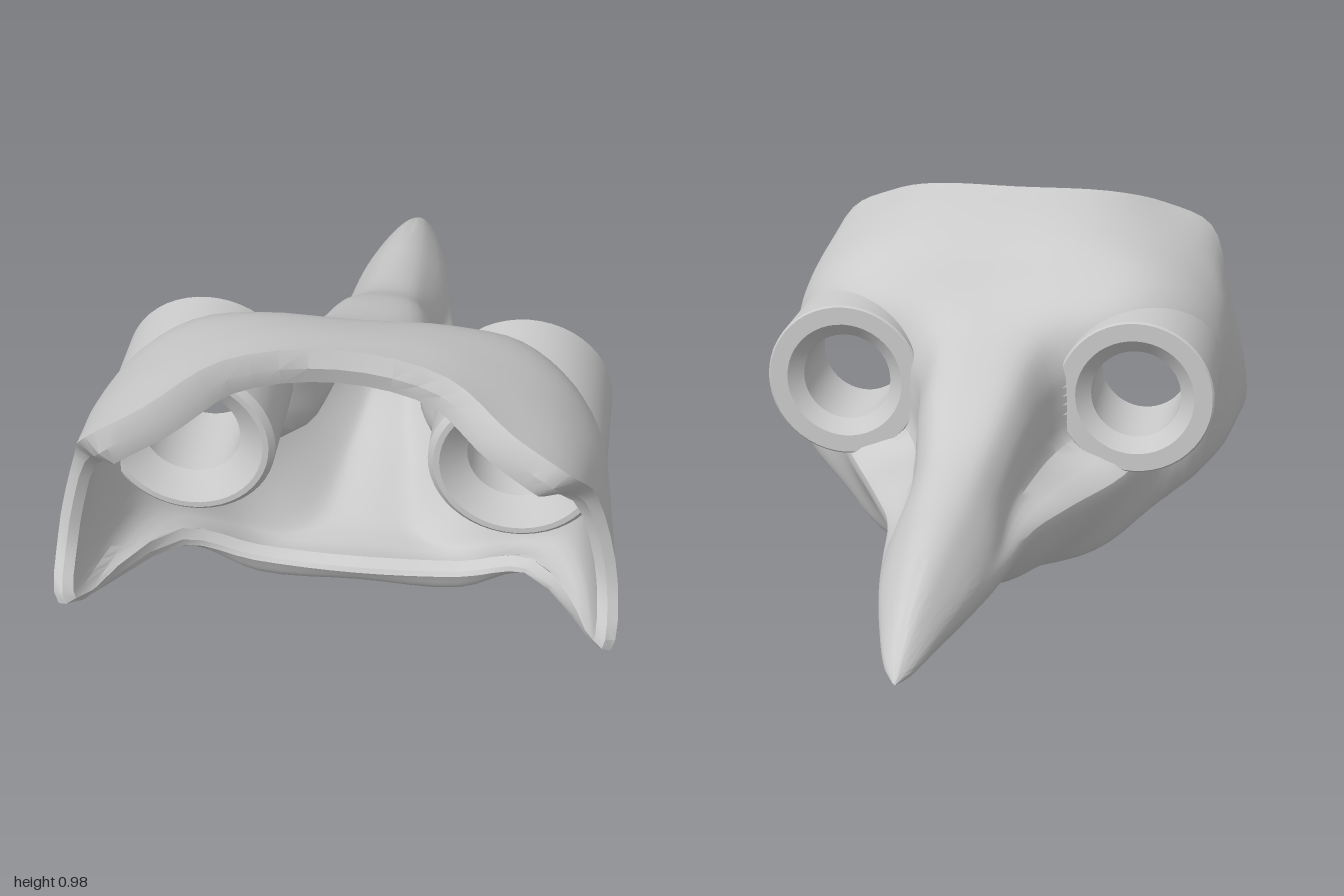
import * as THREE from 'three';
import { toCreasedNormals } from 'three/addons/utils/BufferGeometryUtils.js';

const AROUND = 72, STEPS = 5, THICK = 0.05;
const EYE = { x: 0.41, y: 0.535 };
const mat = new THREE.MeshStandardMaterial({ color: 0xcccccc, side: THREE.DoubleSide });
const { lerp, smoothstep } = THREE.MathUtils;

// Half cross-sections of the beak (width fraction, height fraction), top to bottom
const BASE = [[0, 1], [0.36, 0.97], [0.52, 0.84], [0.55, 0.7], [0.58, 0.54], [1, 0.42], [0.92, 0.29], [0.66, 0.11], [0.38, 0], [0, 0]];
const TIP = [[0, 1], [0.34, 0.95], [0.64, 0.81], [0.85, 0.67], [0.97, 0.55], [1, 0.44], [0.9, 0.29], [0.65, 0.13], [0.35, 0.03], [0, 0]];

// Beak stations: z, top, bottom, half width
const BEAK = [
  [-1, 0.253, 0.247, 0.004], [-0.95, 0.3, 0.235, 0.035], [-0.8, 0.38, 0.215, 0.08], [-0.6, 0.44, 0.183, 0.125],
  [-0.4, 0.48, 0.153, 0.16], [-0.18, 0.535, 0.128, 0.195], [0, 0.625, 0.07, 0.27], [0.24, 0.715, 0.012, 0.385],
];

// Half cross-sections of the face, ending with the curved rim (x, y, z)
const BROW = [[0, 0.78, 0.37], [0.2, 0.775, 0.35], [0.36, 0.745, 0.34], [0.46, 0.68, 0.37], [0.49, 0.56, 0.38],
  [0.485, 0.38, 0.37], [0.45, 0.24, 0.36], [0.36, 0.08, 0.34], [0.22, 0.005, 0.32], [0, 0.005, 0.3]];
const CHEEK = [[0, 0.87, 0.48], [0.24, 0.87, 0.48], [0.42, 0.82, 0.47], [0.54, 0.735, 0.5], [0.6, 0.62, 0.52],
  [0.61, 0.42, 0.5], [0.56, 0.24, 0.47], [0.41, 0.11, 0.43], [0.25, 0.008, 0.38], [0, 0.008, 0.38]];
const TEMPLE = [[0, 0.93, 0.61], [0.24, 0.93, 0.65], [0.43, 0.87, 0.7], [0.55, 0.79, 0.72], [0.62, 0.67, 0.67],
  [0.645, 0.44, 0.65], [0.625, 0.25, 0.65], [0.425, 0.14, 0.5], [0.265, 0.035, 0.46], [0, 0.035, 0.46]];
const RIM = [[0, 0.98, 0.775], [0.26, 0.965, 0.83], [0.42, 0.905, 0.95], [0.55, 0.835, 0.985], [0.615, 0.69, 0.87],
  [0.675, 0.44, 0.865], [0.67, 0.28, 0.93], [0.44, 0.17, 0.54], [0.27, 0.1, 0.495], [0, 0.085, 0.495]];

// Mirror a half section into a closed ring of points
function ring(half) {
  const pts = half.map((p) => new THREE.Vector3(...p));
  const other = pts.slice(1, -1).reverse().map((p) => new THREE.Vector3(-p.x, p.y, p.z));
  const curve = new THREE.CatmullRomCurve3([...pts, ...other], true);
  return Array.from({ length: AROUND }, (_, i) => curve.getPoint(i / AROUND));
}

function beakHalf([z, top, bottom, width]) {
  const k = smoothstep(z, -0.6, 0.1);
  return BASE.map((b, i) => {
    const u = lerp(TIP[i][0], b[0], k), v = lerp(TIP[i][1], b[1], k);
    return [u * width, bottom + v * (top - bottom), z];
  });
}

// Two triangles per cell between consecutive rows of vertices
function gridIndex(rows) {
  const index = [];
  for (let s = 0; s < rows - 1; s++) {
    for (let i = 0; i < AROUND; i++) {
      const a = s * AROUND + i, b = s * AROUND + (i + 1) % AROUND;
      index.push(a, a + AROUND, b, b, a + AROUND, b + AROUND);
    }
  }
  return index;
}

function geometryFrom(points, index) {
  const g = new THREE.BufferGeometry().setFromPoints(points);
  g.setIndex(index);
  g.computeVertexNormals();
  return g;
}

function maskShell() {
  const rings = [...BEAK.map(beakHalf), BROW, CHEEK, TEMPLE, RIM].map(ring);
  const rows = (rings.length - 1) * STEPS + 1;
  const curves = Array.from({ length: AROUND }, (_, i) => new THREE.CatmullRomCurve3(rings.map((r) => r[i])));
  const outer = [];
  for (let s = 0; s < rows; s++) curves.forEach((c) => outer.push(c.getPoint(s / (rows - 1))));

  // Inner skin: outer skin moved inwards, thinner at the tip, thicker under the brow rim
  const normals = geometryFrom(outer, gridIndex(rows)).getAttribute('normal');
  const n = new THREE.Vector3();
  const inner = outer.map((p, k) => {
    const row = Math.floor(k / AROUND) * AROUND;
    const height = outer[row].y - outer[row + AROUND / 2].y;
    const rear = smoothstep(p.z, 0.45, 0.65);
    const thick = THICK + 0.045 * rear * smoothstep(p.y, 0.65, 0.8);
    n.fromBufferAttribute(normals, k);
    n.z *= 1 - rear;
    return p.clone().addScaledVector(n, -Math.min(thick, height * 0.2));
  });

  // Rounded lip joining both skins at the rim
  const lip = [];
  const last = (rows - 1) * AROUND;
  for (let i = 0; i < AROUND; i++) {
    const p = outer[last + i].clone().lerp(inner[last + i], 0.5);
    p.z += 0.012;
    lip.push(p);
  }
  const points = [...outer, ...lip];
  for (let s = rows - 1; s >= 0; s--) points.push(...inner.slice(s * AROUND, (s + 1) * AROUND));

  // Leave out the cells inside the eye tubes
  const all = gridIndex(rows * 2 + 1), index = [];
  for (let t = 0; t < all.length; t += 3) {
    const [a, b, c] = [0, 1, 2].map((j) => points[all[t + j]]);
    const x = Math.abs(a.x + b.x + c.x) / 3, y = (a.y + b.y + c.y) / 3, z = (a.z + b.z + c.z) / 3;
    if (z > 0.2 && Math.hypot(x - EYE.x, y - EYE.y) < 0.18) continue;
    index.push(all[t], all[t + 1], all[t + 2]);
  }
  return toCreasedNormals(geometryFrom(points, index), 0.5);
}

// Thick eye tube with chamfered openings at both ends
function eyeTube() {
  const profile = [[0.125, 0.285], [0.165, 0.25], [0.215, 0.25], [0.22, 0.255], [0.22, 0.565], [0.205, 0.58],
    [0.19, 0.58], [0.137, 0.54], [0.125, 0.53], [0.125, 0.285]].map((p) => new THREE.Vector2(...p));
  const g = new THREE.LatheGeometry(profile, 48);
  g.rotateX(Math.PI / 2);
  return toCreasedNormals(g, 0.5);
}

export function createModel() {
  const model = new THREE.Group();
  model.name = 'beakedMask';
  const shell = new THREE.Mesh(maskShell(), mat);
  shell.name = 'maskShell';
  model.add(shell);

  const tube = eyeTube();
  for (const side of [1, -1]) {
    const eye = new THREE.Mesh(tube, mat);
    eye.name = side > 0 ? 'leftEyeTube' : 'rightEyeTube';
    eye.position.set(side * EYE.x, EYE.y, 0);
    model.add(eye);
  }
  return model;
}
